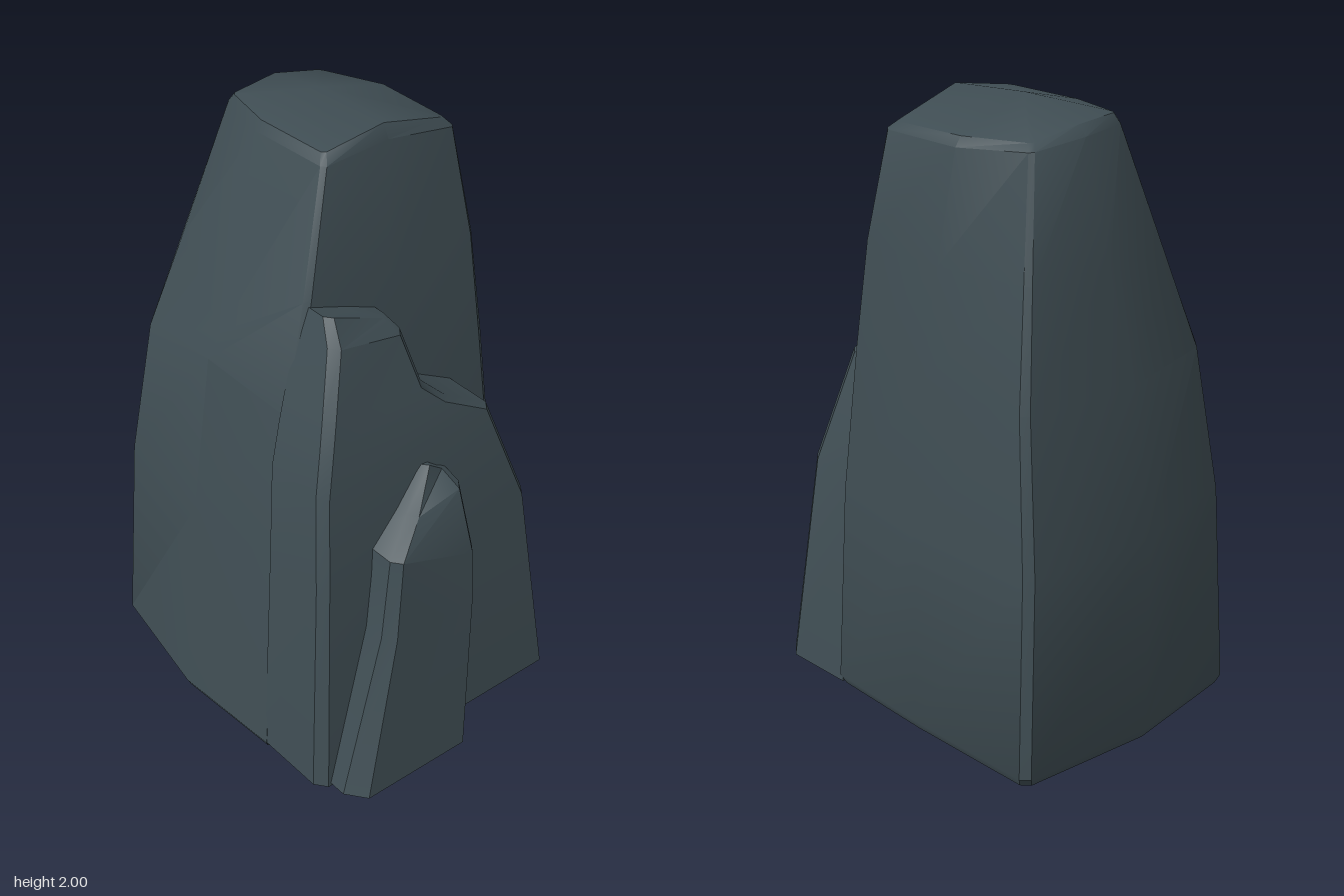
import * as THREE from 'three';
import { toCreasedNormals } from 'three/addons/utils/BufferGeometryUtils.js';

// Skin stacked rings of [x, y, z] points and close both ends on a centre point
function loft(rings, bottom, top) {
  const n = rings[0].length;
  const points = [...rings.flat(), bottom, top];
  const b = points.length - 2, t = points.length - 1, last = (rings.length - 1) * n;
  const index = [];
  for (let i = 0; i < n; i++) {
    const j = (i + 1) % n;
    for (let r = 0; r < rings.length - 1; r++) {
      const lo = r * n, hi = lo + n;
      index.push(lo + i, lo + j, hi + j, lo + i, hi + j, hi + i);
    }
    index.push(b, j, i, t, last + i, last + j);
  }
  const geo = new THREE.BufferGeometry();
  geo.setAttribute('position', new THREE.Float32BufferAttribute(points.flat(), 3));
  geo.setIndex(index);
  return toCreasedNormals(geo, 0.55);
}

const mix = (a, b, t) => a.map((v, k) => v + (b[k] - v) * t);

// Cut every second point (the corners) of a ring into a narrow bevel
function bevelCorners(ring) {
  return ring.flatMap((p, i) => {
    if (i % 2) return [p];
    const prev = ring[(i + ring.length - 1) % ring.length], next = ring[(i + 1) % ring.length];
    return [mix(p, prev, 0.05), mix(p, next, 0.05)];
  });
}

// Leaning slab; rows: [left y, right y, left x, right x, back z, front z, bevel]
function slab(rows, bottom, top) {
  const rings = rows.map(([yl, yr, xl, xr, zb, zf, v]) => [
    [xl, yl, zb], [xl, yl, zf - v * 1.3], [xl + v, yl, zf],
    [xr - v, yr, zf], [xr, yr, zf - v * 1.3], [xr, yr, zb],
  ]);
  return loft(rings, bottom, top);
}

export function createModel() {
  const group = new THREE.Group();
  const stone = new THREE.MeshStandardMaterial({ color: 0x3f4d53 });
  stone.name = 'slate stone';
  const add = (name, geo) => {
    const mesh = new THREE.Mesh(geo, stone);
    mesh.name = name;
    group.add(mesh);
  };

  // Tall main rock: front left, front, front right, right, back right, back, back left, left
  const base = [[-0.5, 0.04, 0.28], [0, 0.04, 0.31], [0.47, 0.07, 0.28], [0.51, 0.09, -0.15],
    [0.52, 0.1, -0.65], [0.02, 0.08, -0.665], [-0.46, 0.06, -0.57], [-0.525, 0.04, -0.14]];
  const foot = base.map(([x, y, z]) => [x * 0.97, y - 0.03, -0.18 + (z + 0.18) * 0.97]);
  const body = [
    foot,
    base,
    [[-0.43, 0.73, 0.25], [0, 0.73, 0.27], [0.45, 0.73, 0.25], [0.495, 0.73, -0.15],
      [0.49, 0.73, -0.63], [0.02, 0.73, -0.665], [-0.42, 0.73, -0.55], [-0.46, 0.73, -0.14]],
    [[-0.34, 1.2, 0.2], [0, 1.2, 0.22], [0.42, 1.2, 0.21], [0.458, 1.2, -0.15],
      [0.44, 1.2, -0.56], [0.04, 1.2, -0.6], [-0.36, 1.2, -0.5], [-0.385, 1.26, -0.14]],
    [[-0.24, 1.55, 0.16], [0.05, 1.55, 0.18], [0.4, 1.55, 0.17], [0.42, 1.55, -0.18],
      [0.37, 1.55, -0.5], [0.08, 1.55, -0.53], [-0.25, 1.52, -0.45], [-0.33, 1.33, -0.15]],
    [[-0.13, 1.92, 0.1], [0.1, 1.94, 0.11], [0.37, 1.89, 0.1], [0.365, 1.89, -0.2],
      [0.28, 1.9, -0.42], [0.1, 1.92, -0.45], [-0.09, 1.92, -0.41], [-0.14, 1.92, -0.2]],
    [[-0.11, 1.95, 0.075], [0.1, 1.985, 0.09], [0.35, 1.915, 0.07], [0.345, 1.92, -0.2],
      [0.26, 1.92, -0.4], [0.1, 1.95, -0.42], [-0.08, 1.95, -0.39], [-0.12, 1.95, -0.2]],
  ];
  add('mainRock', loft(body.map(bevelCorners), [0, 0, -0.18], [0.08, 2, -0.18]));

  // Wide stepped slab against the front
  add('middleSlab', slab([
    [0.04, 0.05, -0.5, 0.47, 0.25, 0.535, 0.03],
    [0.75, 0.75, -0.44, 0.39, 0.22, 0.475, 0.025],
    [1.05, 1.1, -0.395, 0.27, 0.18, 0.42, 0.025],
    [1.18, 1.18, -0.36, 0.12, 0.17, 0.395, 0.025],
    [1.27, 1.25, -0.33, 0.045, 0.16, 0.37, 0.025],
    [1.46, 1.42, -0.262, 0.01, 0.14, 0.31, 0.025],
    [1.53, 1.455, -0.235, -0.01, 0.13, 0.25, 0.02],
  ], [0, 0.02, 0.38], [-0.12, 1.495, 0.19]));

  // Small narrow slab at the very front
  add('frontSlab', slab([
    [0.05, 0.05, -0.46, 0.03, 0.43, 0.66, 0.05],
    [0.57, 0.57, -0.285, 0.08, 0.4, 0.6, 0.03],
    [0.83, 0.73, -0.24, 0.09, 0.38, 0.575, 0.025],
    [0.92, 0.95, -0.135, 0.075, 0.36, 0.52, 0.025],
    [1.025, 0.99, -0.03, 0.06, 0.35, 0.45, 0.02],
  ], [-0.2, 0.04, 0.52], [0.01, 1.02, 0.4]));

  return group;
}
